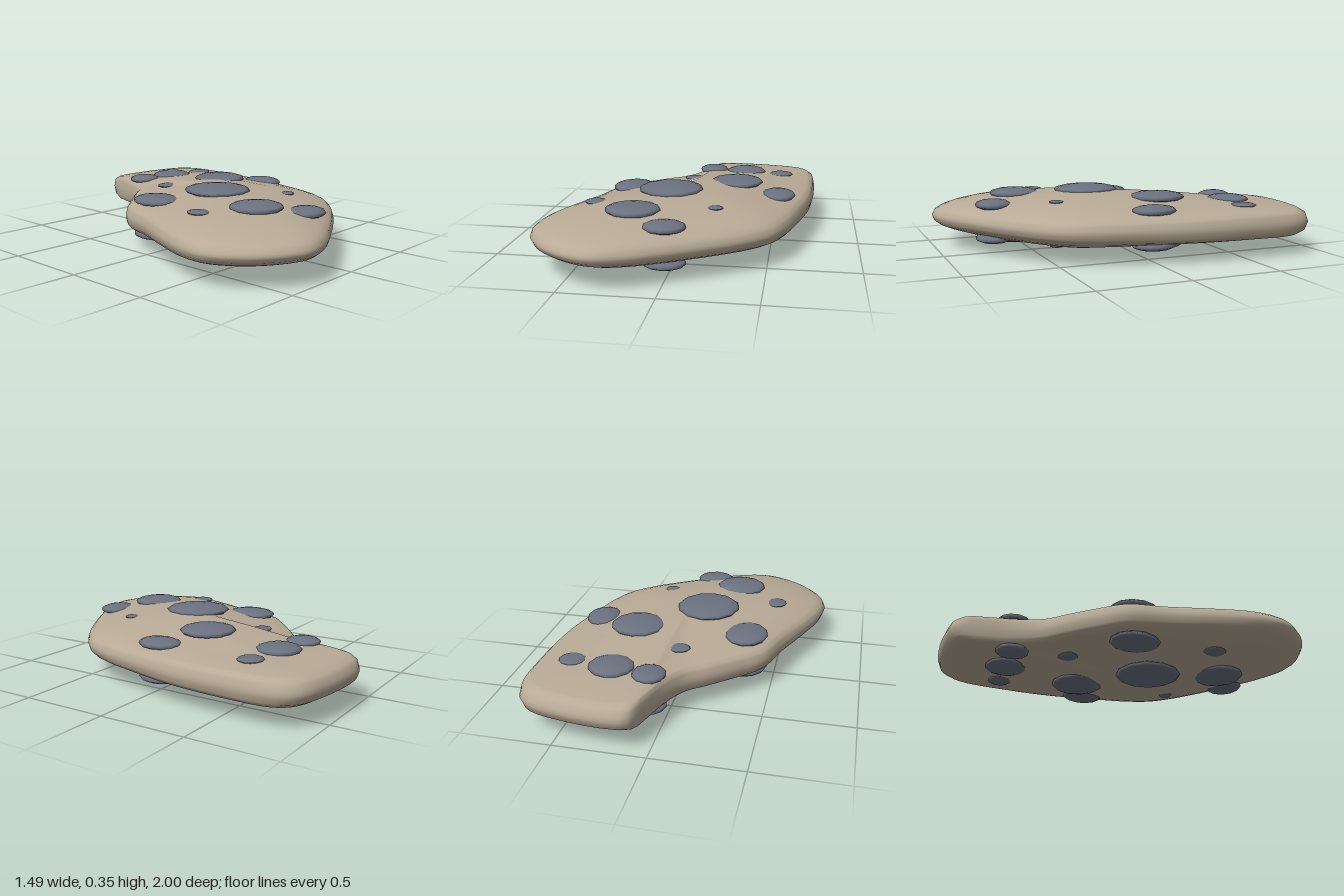
import * as THREE from 'three';
import { mergeVertices } from 'three/addons/utils/BufferGeometryUtils.js';

const MID = 0.178; // height of the rim
const CX = 0.03, CZ = 0.12; // crown of the slab
const N = 120;

// Plan outline as x, z, clockwise from the back
const OUTLINE = [
  [0.1, -0.98], [0.2, -1], [0.45, -0.98], [0.66, -0.92], [0.725, -0.83], [0.74, -0.5], [0.72, -0.2],
  [0.66, 0.1], [0.6, 0.33], [0.53, 0.48], [0.4, 0.61], [0.2, 0.75], [0, 0.87], [-0.16, 0.955],
  [-0.34, 1], [-0.5, 0.945], [-0.65, 0.82], [-0.74, 0.65], [-0.73, 0.48], [-0.66, 0.28],
  [-0.55, 0.02], [-0.47, -0.2], [-0.35, -0.32], [-0.2, -0.45], [-0.08, -0.55], [0, -0.7], [0.05, -0.86],
];

// Half thickness from crown to rim: blunt at the back, tapering at the front
const RADII = [0, 0.2, 0.4, 0.65, 0.8, 0.9, 0.95, 0.985, 1];
const BACK = [0.15, 0.145, 0.125, 0.095, 0.086, 0.079, 0.072, 0.048, 0];
const FRONT = [0.15, 0.147, 0.138, 0.115, 0.092, 0.069, 0.052, 0.03, 0];

const rim = new THREE.CatmullRomCurve3(
  OUTLINE.map(([x, z]) => new THREE.Vector3(x, 0, z)), true).getSpacedPoints(N).slice(0, N);

function halfThickness(r, rimZ) {
  const t = THREE.MathUtils.smoothstep(rimZ, -0.9, 0.9);
  let k = 0;
  while (k < RADII.length - 2 && r > RADII[k + 1]) k++;
  const f = Math.min(1, (r - RADII[k]) / (RADII[k + 1] - RADII[k]));
  const mix = (i) => THREE.MathUtils.lerp(BACK[i], FRONT[i], t);
  return THREE.MathUtils.lerp(mix(k), mix(k + 1), f);
}

// Half thickness of the slab at any plan position
function surfaceAt(x, z) {
  const dx = x - CX, dz = z - CZ, d = Math.hypot(dx, dz);
  let best = rim[0], bestDot = -2;
  for (const p of rim) {
    const px = p.x - CX, pz = p.z - CZ;
    const dot = (px * dx + pz * dz) / (Math.hypot(px, pz) * d);
    if (dot > bestDot) { bestDot = dot; best = p; }
  }
  return halfThickness(d / Math.hypot(best.x - CX, best.z - CZ), best.z);
}

// Concentric rings over the top, round the rim and back under
function slabGeometry() {
  const steps = [0, 0.1, 0.2, 0.3, 0.4, 0.52, 0.65, 0.73, 0.8, 0.85, 0.9, 0.93, 0.95, 0.97, 0.985, 0.994];
  const rings = [...steps.map((r) => [r, 1]), [1, 1], ...steps.map((r) => [r, -1]).reverse()];
  const pos = [], index = [];
  rings.forEach(([r, side], k) => {
    rim.forEach((p, i) => {
      pos.push(CX + (p.x - CX) * r, MID + side * halfThickness(r, p.z), CZ + (p.z - CZ) * r);
      if (k === rings.length - 1) return;
      const j = (i + 1) % N, a = k * N, b = a + N;
      if (k > 0) index.push(a + i, a + j, b + j);
      if (k < rings.length - 2) index.push(a + i, b + j, b + i);
      else index.push(a + i, a + j, b + i);
    });
  });
  const g = new THREE.BufferGeometry();
  g.setAttribute('position', new THREE.Float32BufferAttribute(pos, 3));
  g.setIndex(index);
  const merged = mergeVertices(g);
  merged.computeVertexNormals();
  return merged;
}

// Spots: x, z, x radius, z radius, half height
const SPOTS = [
  [-0.075, 0.14, 0.185, 0.19, 0.03], [0.275, -0.16, 0.157, 0.155, 0.03],
  [0.295, -0.61, 0.126, 0.122, 0.03], [0.08, -0.645, 0.092, 0.096, 0.028],
  [-0.34, -0.08, 0.125, 0.147, 0.03], [0.53, -0.02, 0.1, 0.125, 0.03],
  [-0.21, 0.54, 0.15, 0.145, 0.03], [-0.01, 0.715, 0.115, 0.103, 0.03],
  [0.525, -0.575, 0.074, 0.07, 0.014], [-0.005, -0.34, 0.066, 0.056, 0.012],
  [-0.46, 0.36, 0.06, 0.065, 0.012], [0.215, 0.42, 0.042, 0.04, 0.01],
];

export function createModel() {
  const stone = new THREE.MeshStandardMaterial({ color: 0xb8aa96 });
  stone.name = 'warm stone';
  const slate = new THREE.MeshStandardMaterial({ color: 0x6b7280 });
  slate.name = 'slate grey';

  const model = new THREE.Group();
  model.name = 'spottedSlab';
  const slab = new THREE.Mesh(slabGeometry(), stone);
  slab.name = 'slab';
  model.add(slab);

  // Flattened pebbles mirrored on the upper and lower faces
  const pebble = new THREE.SphereGeometry(1, 12, 8);
  for (const side of [1, -1]) {
    const group = new THREE.Group();
    group.name = side > 0 ? 'upperSpots' : 'lowerSpots';
    for (const [x, z, rx, rz, h] of SPOTS) {
      const spot = new THREE.Mesh(pebble, slate);
      spot.name = 'spot';
      spot.scale.set(rx, h, rz);
      spot.position.set(x, MID + side * surfaceAt(x, z), z);
      group.add(spot);
    }
    model.add(group);
  }
  return model;
}
